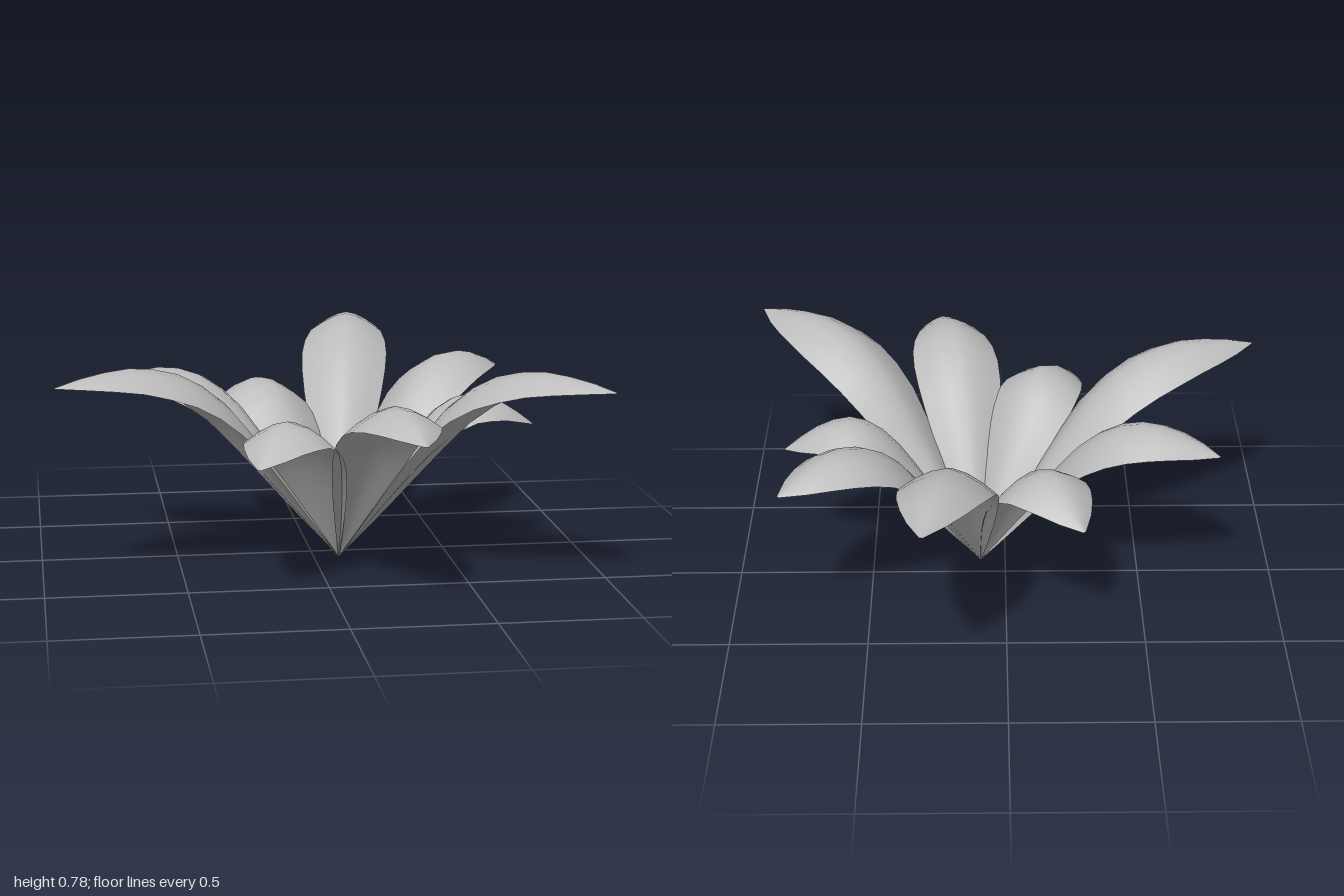
import * as THREE from 'three';

const ROWS = 12, COLS = 6;

// Smooth curve through [t, value] pairs, t running from leaf base to leaf tip
function sampler(points) {
  const curve = new THREE.SplineCurve(points.map(([t, v]) => new THREE.Vector2(t, v)));
  const dense = curve.getPoints(240);
  return t => {
    let i = 1;
    while (i < dense.length - 1 && dense[i].x < t) i++;
    const a = dense[i - 1], b = dense[i];
    return THREE.MathUtils.lerp(a.y, b.y, THREE.MathUtils.clamp((t - a.x) / (b.x - a.x), 0, 1));
  };
}

// Midrib heights of the shortest and longest leaf, and the shared half width
const shortRib = sampler([[0, 0], [0.15, 0.195], [0.3, 0.375], [0.45, 0.52], [0.58, 0.59], [0.69, 0.605], [0.82, 0.575], [0.92, 0.53], [1, 0.485]]);
const longRib = sampler([[0, 0], [0.15, 0.235], [0.3, 0.465], [0.42, 0.625], [0.55, 0.728], [0.67, 0.77], [0.77, 0.78], [0.9, 0.762], [1, 0.735]]);
const halfWidth = sampler([[0, 0.002], [0.12, 0.05], [0.25, 0.1], [0.4, 0.146], [0.55, 0.166], [0.68, 0.157], [0.8, 0.124], [0.92, 0.065], [1, 0.006]]);

// Arched leaf along +x: upper and lower skins that meet at a sharp rim
function leafGeometry(size) {
  const length = THREE.MathUtils.lerp(0.727, 1.107, size);
  const pos = [], index = [];
  for (const lower of [false, true]) {
    const start = pos.length / 3;
    for (let i = 0; i <= ROWS; i++) {
      const t = i / ROWS;
      const w = halfWidth(t);
      const rib = THREE.MathUtils.lerp(shortRib(t), longRib(t), size);
      const droop = w * (0.75 - 0.35 * t);
      for (let j = 0; j <= COLS; j++) {
        const u = (j / COLS) * 2 - 1;
        const thickness = lower ? Math.min(0.018, w * 0.3) * (1 - u * u) : 0;
        const y = rib - droop * Math.abs(u) ** 1.6 - thickness;
        pos.push(t * length, Math.max(0, y), u * w);
      }
    }
    for (let i = 0; i < ROWS; i++) {
      for (let j = 0; j < COLS; j++) {
        const a = start + i * (COLS + 1) + j, b = a + 1, c = a + COLS + 1, d = c + 1;
        if (lower) index.push(a, c, b, b, c, d);
        else index.push(a, b, c, b, d, c);
      }
    }
  }
  const geometry = new THREE.BufferGeometry();
  geometry.setAttribute('position', new THREE.Float32BufferAttribute(pos, 3));
  geometry.setIndex(index);
  geometry.computeVertexNormals();
  return geometry;
}

export function createModel() {
  const group = new THREE.Group();
  group.name = 'leafRosette';
  const leafGrey = new THREE.MeshStandardMaterial({ color: 0xbcbcbc, side: THREE.DoubleSide });
  leafGrey.name = 'leafGrey';

  // Nine leaves, 40 degrees apart, repeating short, long, medium
  const kinds = [['shortLeaf', 0], ['longLeaf', 1], ['mediumLeaf', 0.5]]
    .map(([name, size]) => ({ name, geometry: leafGeometry(size) }));
  for (let i = 0; i < 9; i++) {
    const { name, geometry } = kinds[i % 3];
    const leaf = new THREE.Mesh(geometry, leafGrey);
    leaf.name = name + (Math.floor(i / 3) + 1);
    leaf.position.set(0.093, 0, 0.088);
    leaf.rotation.y = -THREE.MathUtils.degToRad(i * 40);
    group.add(leaf);
  }
  return group;
}
